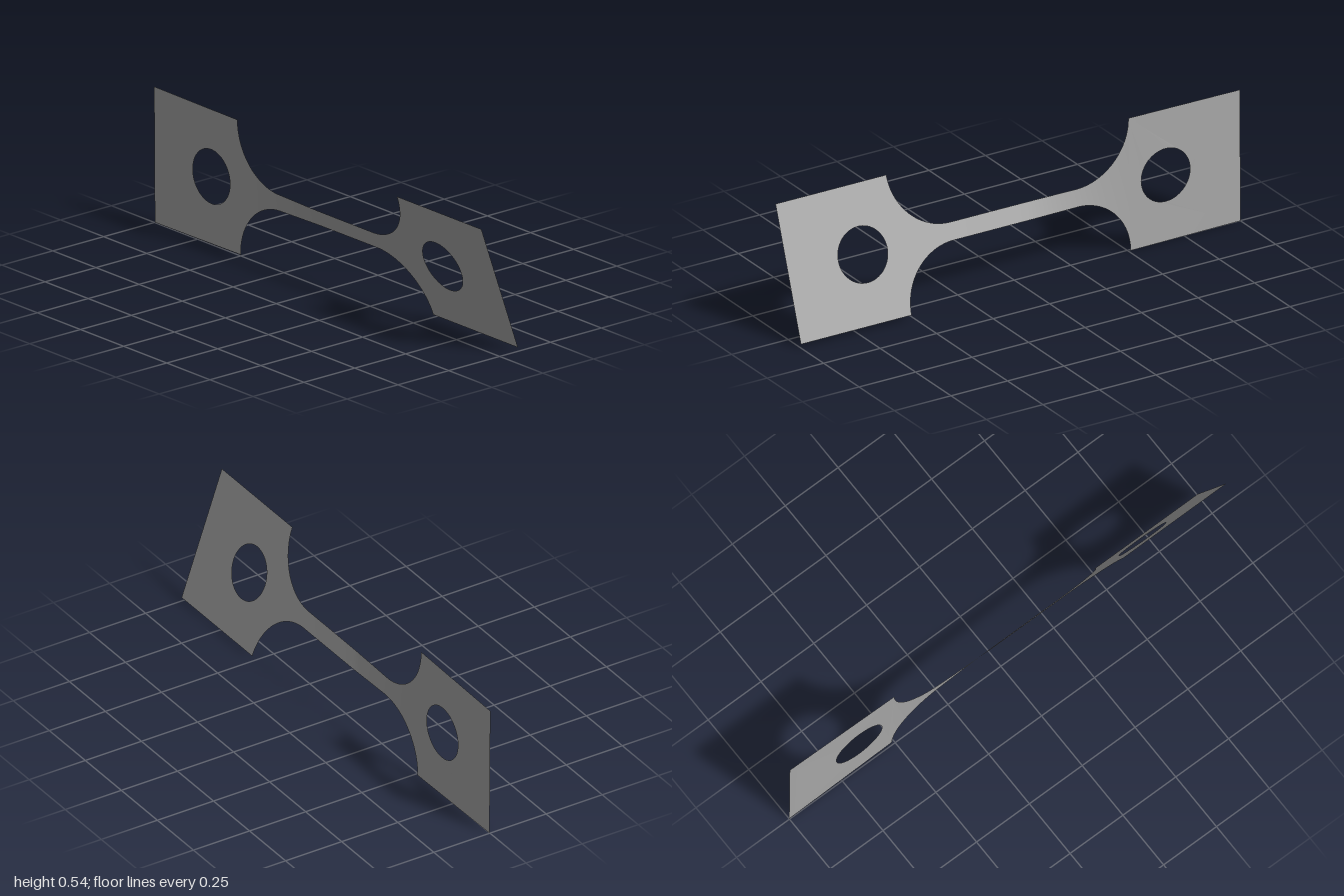
import * as THREE from 'three';

const MID = 0.27;        // height of the long axis
const HALF = 0.27;       // half height of the end plates
const NECK = 0.035;      // half height of the neck
const SHOULDER = 0.51;   // where plate meets fillet
const R = HALF - NECK;   // fillet radius

// Twist angle (degrees) along the bar: flat left end, fully turned right end
const KEYS = [[-1, 0.4], [-0.55, 1], [-0.4, 4], [-0.25, 10], [-0.05, 18.5], [0.3, 19.4], [1, 19.4]];
function twist(x) {
  let i = 0;
  while (i < KEYS.length - 2 && x > KEYS[i + 1][0]) i++;
  const [x0, a0] = KEYS[i], [x1, a1] = KEYS[i + 1];
  return THREE.MathUtils.degToRad(a0 + (a1 - a0) * (x - x0) / (x1 - x0));
}

// Half height of the strip between the two plates
function halfHeight(x) {
  const d = Math.max(0, Math.abs(x) - (SHOULDER - R));
  return HALF - Math.sqrt(Math.max(0, R * R - d * d));
}

// Turn each vertex of a flat sheet about the long axis
function applyTwist(geo) {
  const p = geo.attributes.position;
  for (let i = 0; i < p.count; i++) {
    const x = p.getX(i), v = p.getY(i), a = twist(x);
    p.setXYZ(i, x, MID + v * Math.cos(a), v * Math.sin(a));
  }
  geo.computeVertexNormals();
  return geo;
}

// Square end plate with a round hole
function plate(side) {
  const s = new THREE.Shape();
  const a = Math.min(side, side * SHOULDER), b = Math.max(side, side * SHOULDER);
  s.moveTo(a, -HALF);
  s.lineTo(b, -HALF);
  s.lineTo(b, HALF);
  s.lineTo(a, HALF);
  s.closePath();
  const hole = new THREE.Path();
  hole.absarc(side * 0.67, 0, 0.108, 0, Math.PI * 2, true);
  s.holes.push(hole);
  return applyTwist(new THREE.ShapeGeometry(s, 32));
}

// Neck with its flared fillets, stations packed closer near the shoulders
function neck() {
  const geo = new THREE.PlaneGeometry(2, 2, 96, 6);
  const p = geo.attributes.position;
  for (let i = 0; i < p.count; i++) {
    const x = SHOULDER * Math.sin(p.getX(i) * Math.PI / 2);
    p.setXY(i, x, p.getY(i) * halfHeight(x));
  }
  return applyTwist(geo);
}

export function createModel() {
  const group = new THREE.Group();
  group.name = 'twistedBar';
  const steel = new THREE.MeshStandardMaterial({ color: 0xa8a8a8, side: THREE.DoubleSide });
  steel.name = 'grey steel';
  const add = (name, geo) => {
    const m = new THREE.Mesh(geo, steel);
    m.name = name;
    group.add(m);
  };
  add('rightPlate', plate(-1));
  add('twistedNeck', neck());
  add('leftPlate', plate(1));
  return group;
}
